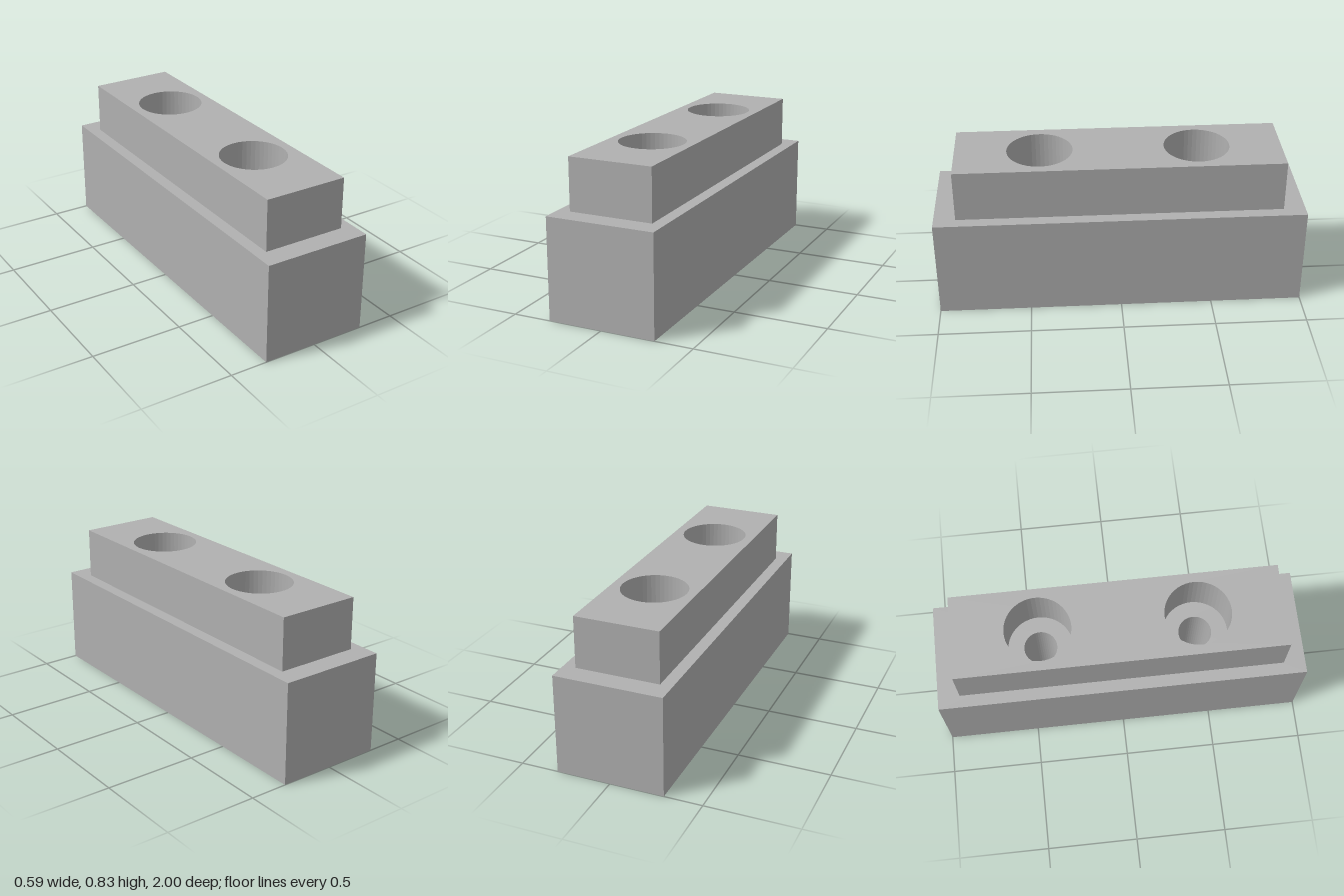
import * as THREE from 'three';

const HOLE_Z = 0.424;

// Upright rectangular block pierced by two round holes along its length
function drilledBlock(width, length, height, holeRadius) {
  const w = width / 2, l = length / 2;
  const shape = new THREE.Shape();
  shape.moveTo(-w, -l);
  shape.lineTo(w, -l);
  shape.lineTo(w, l);
  shape.lineTo(-w, l);
  shape.closePath();
  for (const side of [-1, 1]) {
    const hole = new THREE.Path();
    hole.absarc(0, side * HOLE_Z, holeRadius, 0, Math.PI * 2, true);
    shape.holes.push(hole);
  }
  const geometry = new THREE.ExtrudeGeometry(shape, {
    depth: height, bevelEnabled: false, curveSegments: 24,
  });
  return geometry.rotateX(-Math.PI / 2);
}

export function createModel() {
  const grey = new THREE.MeshStandardMaterial({ color: 0xb0b0b0, flatShading: true });
  grey.name = 'plain grey';

  const model = new THREE.Group();
  model.name = 'steppedBlock';

  // Wide lower block with narrow bolt holes
  const base = new THREE.Mesh(drilledBlock(0.589, 2, 0.551, 0.09), grey);
  base.name = 'baseBlock';

  // Narrower raised block with wide counterbores, floored by the base
  const raised = new THREE.Mesh(drilledBlock(0.457, 1.764, 0.282, 0.178), grey);
  raised.name = 'raisedBlock';
  raised.position.y = 0.551;

  model.add(base, raised);
  return model;
}
